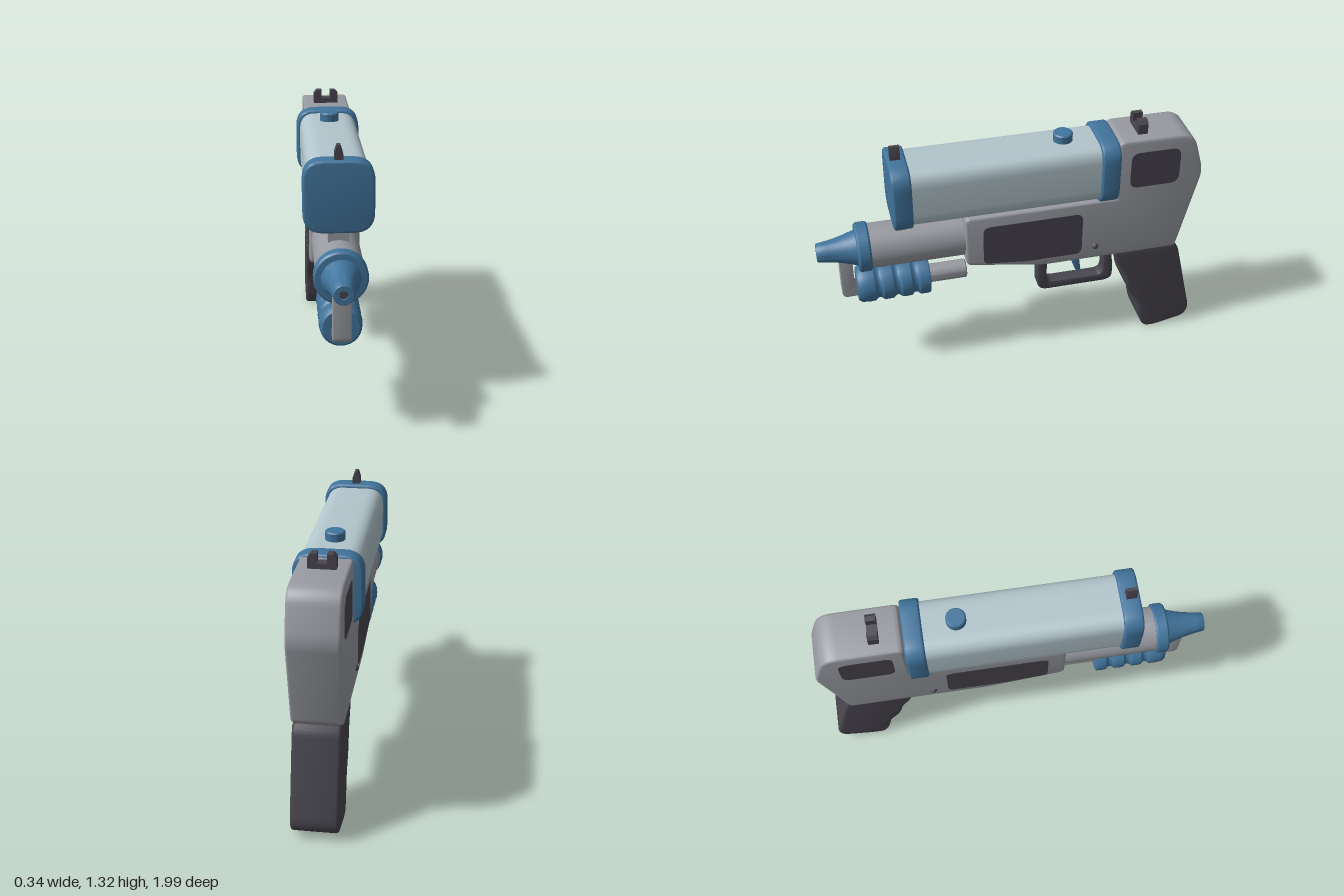
import * as THREE from 'three';
import { toCreasedNormals } from 'three/addons/utils/BufferGeometryUtils.js';

const mat = (name, color) => {
  const m = new THREE.MeshStandardMaterial({ color });
  m.name = name;
  return m;
};

// Closed outline from [x, y, cornerRadius] points, corners rounded by curves.
function outline(points, Type = THREE.Shape) {
  const s = new Type();
  const n = points.length;
  points.forEach(([x, y, r = 0], i) => {
    const p = new THREE.Vector2(x, y);
    const toward = ([qx, qy]) => {
      const d = new THREE.Vector2(qx, qy).sub(p);
      return p.clone().add(d.setLength(Math.min(r, d.length() * 0.5)));
    };
    const a = toward(points[(i + n - 1) % n]);
    const b = toward(points[(i + 1) % n]);
    if (i === 0) s.moveTo(a.x, a.y);
    else s.lineTo(a.x, a.y);
    if (r > 0) s.quadraticCurveTo(x, y, b.x, b.y);
  });
  s.closePath();
  return s;
}

const rect = (x0, x1, y0, y1, r) => [[x0, y0, r], [x1, y0, r], [x1, y1, r], [x0, y1, r]];

// Extrusion centred on its own axis, with a bevel kept inside the outline.
function slab(shape, depth, bevel) {
  const g = new THREE.ExtrudeGeometry(shape, {
    depth: depth - 2 * bevel, bevelEnabled: bevel > 0, bevelThickness: bevel,
    bevelSize: bevel, bevelOffset: -bevel, bevelSegments: 3, curveSegments: 8,
  });
  g.translate(0, 0, bevel - depth / 2);
  return toCreasedNormals(g, 0.6);
}

// Side profile given as (z, y), extruded across x.
const sideSlab = (shape, width, bevel = 0) => slab(shape, width, bevel).rotateY(-Math.PI / 2);

// Profile of [radius, z] points, back to front, turned round the z axis.
const turned = (profile, segments = 40) => toCreasedNormals(
  new THREE.LatheGeometry(profile.map(([r, z]) => new THREE.Vector2(r, z)), segments)
    .rotateX(Math.PI / 2), 0.6);

export function createModel() {
  const grey = mat('grey plastic', 0x989aa1);
  const blue = mat('blue plastic', 0x41749c);
  const pale = mat('pale tank', 0xb2c5cc);
  const dark = mat('dark plastic', 0x48454e);

  const model = new THREE.Group();
  model.name = 'waterBlaster';
  const add = (name, geometry, material, x = 0, y = 0, z = 0) => {
    const m = new THREE.Mesh(geometry, material);
    m.name = name;
    m.position.set(x, y, z);
    model.add(m);
    return m;
  };

  // Main body
  add('body', sideSlab(outline([
    [0.26, 0.625, 0.03], [0.26, 0.912, 0.03], [-0.525, 0.912], [-0.525, 1.245, 0.03],
    [-0.915, 1.245, 0.08], [-0.98, 1.015, 0.05], [-0.87, 0.553, 0.03], [-0.15, 0.553, 0.02],
  ]), 0.248, 0.014), grey);

  // Side panels and pins
  const rearPanel = outline([
    [-0.59, 0.97, 0.045], [-0.85, 0.97, 0.05], [-0.85, 1.175, 0.05], [-0.59, 1.175, 0.045],
  ]);
  const sidePanel = outline([
    [0.17, 0.625, 0.03], [-0.06, 0.6, 0.02], [-0.35, 0.6, 0.04],
    [-0.35, 0.85, 0.04], [0.17, 0.85, 0.04],
  ]);
  for (const side of [-1, 1]) {
    const label = side > 0 ? 'left' : 'right';
    add(label + 'RearPanel', sideSlab(rearPanel, 0.006), dark, side * 0.123);
    add(label + 'SidePanel', sideSlab(sidePanel, 0.006), dark, side * 0.123);
    const pin = new THREE.SphereGeometry(0.017, 20, 12);
    add(label + 'Pin', pin, dark, side * 0.12, 0.63, -0.425);
  }

  // Grip
  add('grip', sideSlab(outline([
    [-0.535, 0.56], [-0.555, 0.49, 0.03], [-0.605, 0.4, 0.04], [-0.625, 0.29, 0.05],
    [-0.69, 0.19, 0.05], [-0.705, 0.09, 0.04], [-0.735, 0.0, 0.045], [-0.80, -0.002, 0.02],
    [-0.975, 0.035, 0.04], [-1.0, 0.09, 0.04], [-0.9, 0.52, 0.02], [-0.875, 0.56],
  ]), 0.23, 0.016), dark);

  // Trigger guard and trigger
  const guard = outline([
    [-0.14, 0.56], [-0.14, 0.315, 0.06], [-0.56, 0.315, 0.06], [-0.56, 0.4, 0.02], [-0.545, 0.56],
  ]);
  guard.holes.push(outline(
    [[-0.192, 0.548, 0.01], [-0.505, 0.548, 0.01], [-0.505, 0.362, 0.04], [-0.192, 0.362, 0.04]],
    THREE.Path));
  add('triggerGuard', sideSlab(guard, 0.072, 0.008), dark);
  add('trigger', sideSlab(outline([
    [-0.312, 0.57], [-0.322, 0.5, 0.05], [-0.355, 0.402, 0.015], [-0.384, 0.405, 0.012],
    [-0.37, 0.49, 0.05], [-0.385, 0.57],
  ]), 0.055, 0.008), blue);

  // Tank with its two end caps
  add('tank', slab(outline(rect(-0.15, 0.15, 0.915, 1.233, 0.085)), 1.0, 0), pale, 0, 0, 0.045);
  const cap = outline(rect(-0.168, 0.168, 0.902, 1.25, 0.1));
  add('frontCap', slab(cap, 0.096, 0.012), blue, 0, 0, 0.568);
  add('rearCap', slab(cap, 0.096, 0.012), blue, 0, 0, -0.477);
  add('fillerPlug', turned([[0, -0.03], [0.049, -0.03], [0.049, 0.021], [0.043, 0.027], [0, 0.027]])
    .rotateX(-Math.PI / 2), blue, 0, 1.25, -0.265);
  add('tankMount', new THREE.BoxGeometry(0.1, 0.08, 0.05), grey, 0, 0.885, 0.572);

  // Sights
  add('frontSight', slab(outline([
    [-0.02, 1.235], [0.02, 1.235], [0.02, 1.28], [0.008, 1.318], [-0.008, 1.318], [-0.02, 1.28],
  ]), 0.05, 0), dark, 0, 0, 0.573);
  add('rearSight', slab(outline([
    [-0.066, 1.235], [0.066, 1.235], [0.066, 1.298], [0.05, 1.316], [0.024, 1.316],
    [0.024, 1.272], [-0.024, 1.272], [-0.024, 1.316], [-0.05, 1.316], [-0.066, 1.298],
  ]), 0.05, 0), dark, 0, 0, -0.66);

  // Barrel and nozzle
  add('barrel', turned([[0, 0.24], [0.115, 0.24], [0.115, 0.75], [0, 0.75]]), grey, 0, 0.75);
  add('nozzle', turned([
    [0.1, 0.733], [0.119, 0.733], [0.127, 0.742], [0.127, 0.79], [0.119, 0.799], [0.092, 0.801],
    [0.084, 0.825], [0.073, 0.86], [0.063, 0.9], [0.054, 0.95], [0.048, 0.995], [0.044, 1.0],
    [0.021, 1.0], [0.021, 0.975],
  ]), blue, 0, 0.75);
  add('nozzleHole', new THREE.CircleGeometry(0.022, 24), dark, 0, 0.75, 0.985);

  // Pump bracket, ribbed pump handle and rod
  add('pumpBracket', sideSlab(outline([
    [0.828, 0.74], [0.828, 0.53, 0.02], [0.79, 0.5], [0.79, 0.472], [0.895, 0.472, 0.03],
    [0.895, 0.72, 0.02],
  ]), 0.088, 0.005), grey);
  const ribs = [[0, 0.46], [0.075, 0.46], [0.08, 0.441], [0.094, 0.441]];
  for (let i = 0; i < 4; i++) {
    const z = 0.445 + i * 0.0945;
    ribs.push([0.1, z], [0.102, z + 0.025], [0.1, z + 0.05]);
    if (i < 3) ribs.push([0.088, z + 0.062], [0.086, z + 0.072], [0.088, z + 0.082]);
  }
  ribs.push([0.097, 0.8], [0.085, 0.815], [0, 0.815]);
  add('pumpHandle', turned(ribs), blue, 0, 0.517);
  add('pumpRod', turned([[0, 0.243], [0.044, 0.243], [0.049, 0.248], [0.049, 0.48], [0, 0.48]], 32),
    grey, 0, 0.517);

  return model;
}
